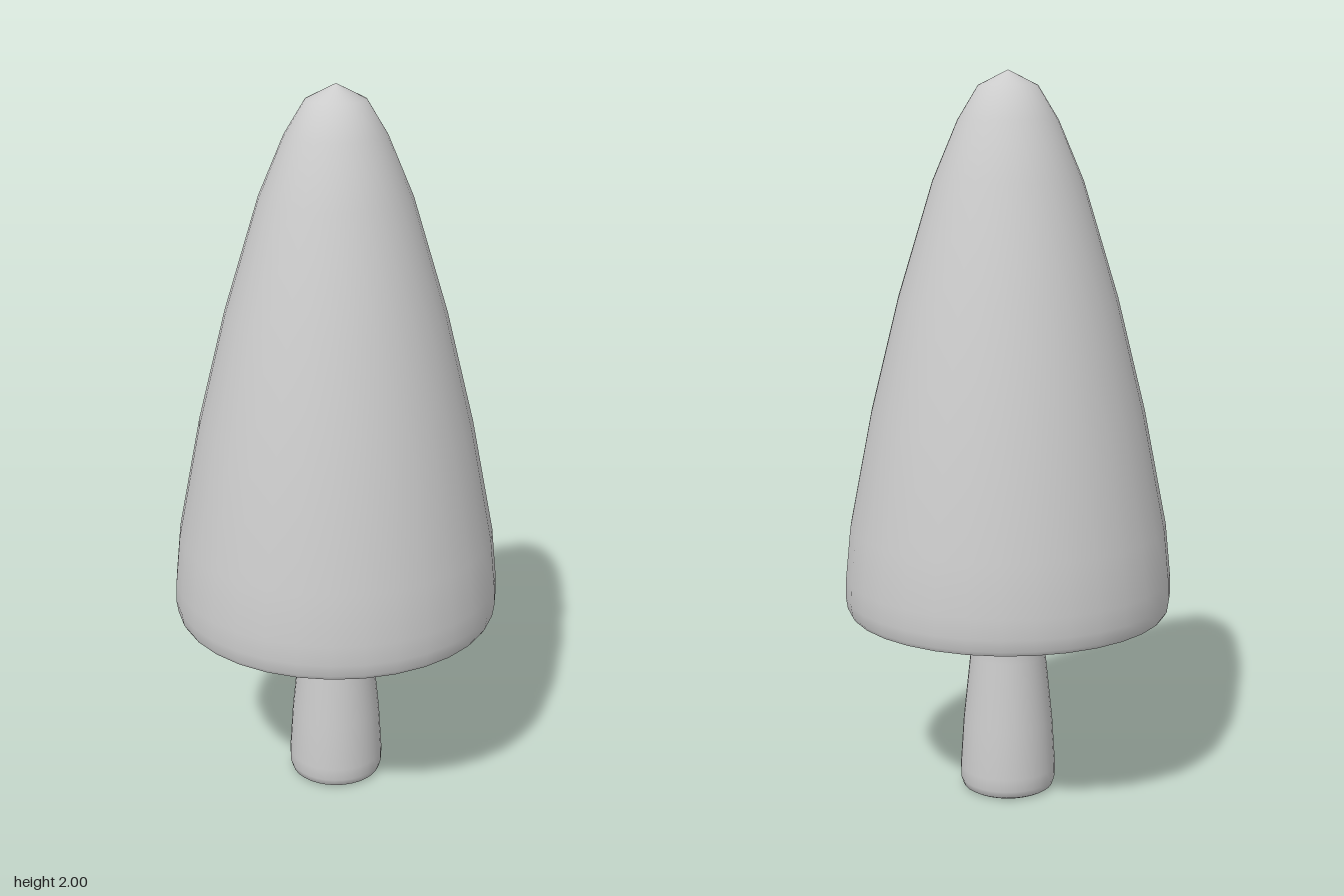
import * as THREE from 'three';

const SIDES = 32;

// Spin a bottom-to-top profile of [radius, height] pairs around y
function lathe(name, profile, material) {
  const points = profile.map(([r, y]) => new THREE.Vector2(r, y));
  const mesh = new THREE.Mesh(new THREE.LatheGeometry(points, SIDES), material);
  mesh.name = name;
  return mesh;
}

export function createModel() {
  const model = new THREE.Group();
  model.name = 'tree';
  const solid = new THREE.MeshStandardMaterial({ color: 0xcccccc });
  const shell = new THREE.MeshStandardMaterial({ color: 0xcccccc, side: THREE.DoubleSide });

  // Hollow canopy, open underneath, with a slightly tucked-in rim
  model.add(lathe('canopy', [
    [0.442, 0.53], [0.449, 0.542], [0.454, 0.575], [0.452, 0.63], [0.438, 0.77],
    [0.375, 1.09], [0.298, 1.4], [0.203, 1.71], [0.135, 1.87], [0.08, 1.96], [0, 2],
  ], shell));

  // Trunk flares towards a rounded foot and runs up inside the canopy
  model.add(lathe('trunk', [
    [0.118, 0], [0.128, 0.006], [0.134, 0.025], [0.135, 0.06],
    [0.126, 0.2], [0.106, 0.39], [0.104, 0.43], [0.104, 1],
  ], solid));

  // Flat ends of the trunk
  for (const [name, radius, y, turn] of [['trunkBase', 0.118, 0, 1], ['trunkTop', 0.104, 1, -1]]) {
    const cap = new THREE.Mesh(new THREE.CircleGeometry(radius, SIDES), solid);
    cap.name = name;
    cap.position.y = y;
    cap.rotation.x = turn * Math.PI / 2;
    model.add(cap);
  }
  return model;
}
